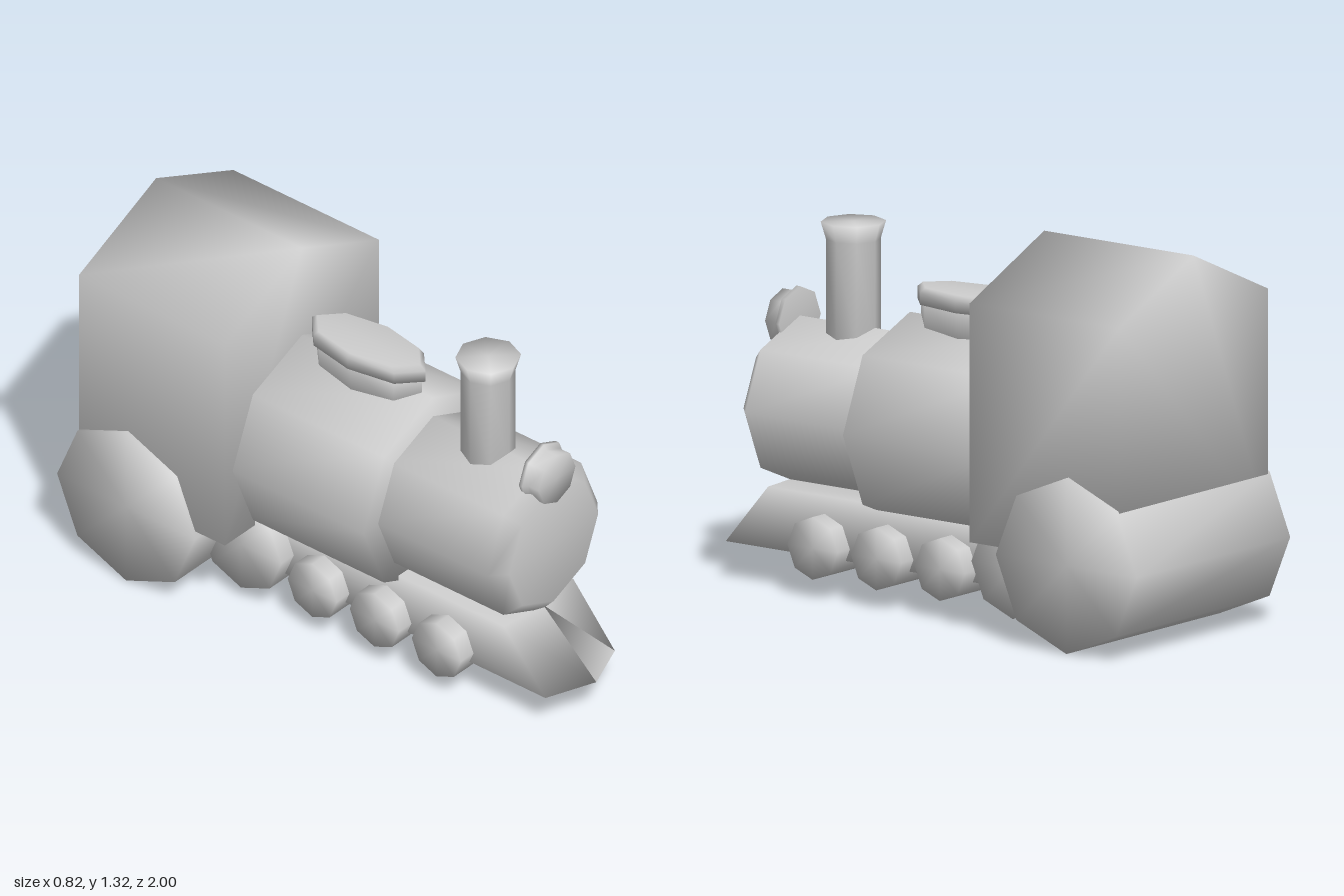
import * as THREE from 'three';
import { mergeVertices } from 'three/addons/utils/BufferGeometryUtils.js';

const material = new THREE.MeshStandardMaterial({ color: 0xcccccc });

// Weld all corners so the low-poly solids shade softly across every edge
function smooth(geometry) {
  geometry.deleteAttribute('uv');
  geometry.deleteAttribute('normal');
  const welded = mergeVertices(geometry, 1e-4);
  welded.computeVertexNormals();
  return welded;
}

// Closed eight-sided solid from [radius, height] rings, bottom to top
function turned(rings) {
  const points = [[0, rings[0][1]], ...rings, [0, rings[rings.length - 1][1]]];
  return new THREE.LatheGeometry(points.map(([r, h]) => new THREE.Vector2(r, h)), 8);
}

function prism(points, depth) {
  const shape = new THREE.Shape(points.map(([x, y]) => new THREE.Vector2(x, y)));
  return new THREE.ExtrudeGeometry(shape, { depth, bevelEnabled: false });
}

export function createModel() {
  const group = new THREE.Group();
  const add = (name, geometry, x = 0, y = 0, z = 0) => {
    const mesh = new THREE.Mesh(smooth(geometry), material);
    mesh.name = name;
    mesh.position.set(x, y, z);
    group.add(mesh);
  };

  // Cab with gabled roof
  add('cab', prism([[-0.4, 0.325], [0.4, 0.325], [0.4, 1.14], [0, 1.32], [-0.4, 1.14]], 0.635), 0, 0, -0.915);

  // Boiler in two steps, with a bevelled nose
  add('rearBoiler', turned([[0.36, -0.32], [0.36, 0.29]]).rotateX(Math.PI / 2), 0, 0.607, 0);
  add('frontBoiler', turned([[0.285, 0.25], [0.285, 0.765], [0.23, 0.815]]).rotateX(Math.PI / 2), 0, 0.607, 0);

  // Chassis with a pointed plan, its front raked back toward the top
  const chassis = prism([[-0.18, 0.6], [-0.18, -0.93], [0, -1], [0.18, -0.93], [0.18, 0.6]], 0.21);
  chassis.rotateX(-Math.PI / 2);
  const p = chassis.attributes.position;
  for (let i = 0; i < p.count; i++) {
    if (p.getY(i) > 0.1 && p.getZ(i) > 0) p.setZ(i, Math.abs(p.getX(i)) < 0.01 ? 0.77 : 0.75);
  }
  add('chassis', chassis, 0, 0.13, 0);

  // Wheel rollers: [name, radius, half width, y, z]
  [
    ['frontWheels', 0.107, 0.245, 0.172, 0.51],
    ['secondWheels', 0.107, 0.245, 0.172, 0.24],
    ['thirdWheels', 0.107, 0.245, 0.172, -0.03],
    ['fourthWheels', 0.175, 0.245, 0.22, -0.34],
    ['rearWheels', 0.3, 0.412, 0.302, -0.7],
  ].forEach(([name, r, w, y, z]) =>
    add(name, turned([[r, -w], [r, w]]).rotateZ(Math.PI / 2), 0, y, z));

  // Chimney with flared rim
  add('chimney', turned([[0.092, 0.82], [0.092, 1.185], [0.11, 1.245]]), 0, 0, 0.53);

  // Long narrow steam dome on a slimmer neck
  add('domeNeck', turned([[0.095, 0.9], [0.095, 1.03]]).scale(1, 1, 2.42), 0, 0, 0.012);
  add('domeCap', turned([[0.11, 1.018], [0.11, 1.06], [0.1, 1.077]]).scale(1, 1, 2.25), 0, 0, 0.01);

  // Headlight with rear flange
  add('headlight', turned([[0.112, 0.757], [0.112, 0.772], [0.095, 0.785], [0.095, 0.83]]).rotateX(Math.PI / 2), 0, 0.88, 0);

  return group;
}
